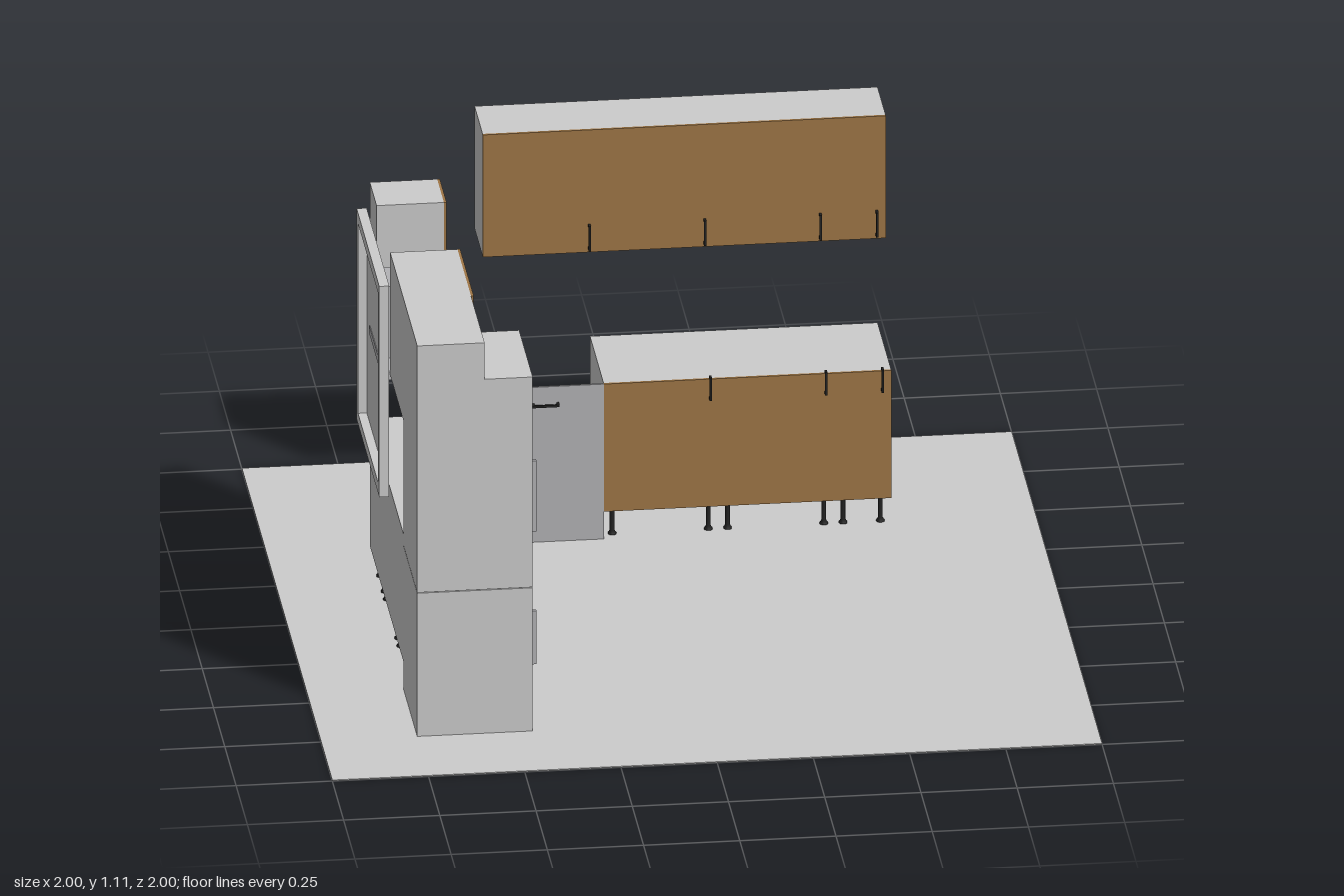
import * as THREE from 'three';

const mat = (color) => new THREE.MeshStandardMaterial({ color });
const GREY = mat(0xcccccc), WOOD = mat(0x9e7646), BLACK = mat(0x222222);
const STEEL = mat(0xb2b2b5), FRIDGE = mat(0xc4c4c4), GLASS = mat(0x363636);

// Box given by its minimum and maximum on each axis
function box(parent, name, material, [x0, x1], [y0, y1], [z0, z1]) {
  const mesh = new THREE.Mesh(new THREE.BoxGeometry(x1 - x0, y1 - y0, z1 - z0), material);
  mesh.position.set((x0 + x1) / 2, (y0 + y1) / 2, (z0 + z1) / 2);
  mesh.name = name;
  parent.add(mesh);
  return mesh;
}

// Bar handle standing off a door that faces +z; length runs along y
function barHandle(name, length, material = BLACK, t = 0.006, depth = 0.018) {
  const g = new THREE.Group();
  g.name = name;
  const h = length / 2;
  box(g, 'handleBar', material, [-t / 2, t / 2], [-h, h], [depth - t, depth]);
  for (const s of [-1, 1]) {
    const y = s * (h - t / 2);
    box(g, 'handlePost', material, [-t / 2, t / 2], [y - t / 2, y + t / 2], [0, depth - t]);
  }
  return g;
}

function place(parent, obj, x, y, z, rotY = 0, rotZ = 0) {
  obj.position.set(x, y, z);
  obj.rotation.set(0, rotY, rotZ);
  parent.add(obj);
}

// Turned cabinet foot, wider at the floor and under the carcass
const legGeo = new THREE.LatheGeometry([
  [0, 0], [0.011, 0], [0.011, 0.006], [0.006, 0.014], [0.006, 0.072], [0.009, 0.074], [0.009, 0.082], [0, 0.082],
].map(([r, y]) => new THREE.Vector2(r, y)), 12);

function leg(parent, x, z) {
  const mesh = new THREE.Mesh(legGeo, BLACK);
  mesh.name = 'cabinetLeg';
  mesh.position.set(x, 0, z);
  parent.add(mesh);
}

const BASE = [0.08, 0.44], UPPER = [0.76, 1.105];

// Cabinets along the back, doors facing +z
function buildBackRun() {
  const run = new THREE.Group();
  run.name = 'backRun';
  for (const [x0, x1] of [[-0.425, -0.125], [-0.125, 0.175], [0.175, 0.475], [0.475, 0.622]]) {
    box(run, 'upperCabinet', GREY, [x0, x1], UPPER, [-0.75, -0.572]);
    box(run, 'upperDoor', WOOD, [x0, x1], UPPER, [-0.572, -0.565]);
    place(run, barHandle('upperHandle', 0.07), x1 - 0.024, 0.805, -0.565);
    if (x0 < -0.4) continue;
    box(run, 'baseCabinet', GREY, [x0, x1], BASE, [-0.75, -0.45]);
    box(run, 'baseDoor', WOOD, [x0, x1], BASE, [-0.45, -0.443]);
    place(run, barHandle('baseHandle', 0.065), x1 - 0.024, 0.418, -0.443);
    for (const x of [x0 + 0.025, x1 - 0.025]) {
      for (const z of [-0.725, -0.475]) if (x !== x0 + 0.025 || x0 < 0.47) leg(run, x, z);
    }
  }
  for (const z of [-0.725, -0.475]) leg(run, 0.5, z);
  // Dishwasher front stands alone on the floor
  box(run, 'dishwasherFront', STEEL, [-0.425, -0.125], [0, 0.44], [-0.449, -0.443]);
  place(run, barHandle('dishwasherHandle', 0.07), -0.277, 0.392, -0.443, 0, Math.PI / 2);
  return run;
}

// Cabinets along the side wall, doors facing +x
function buildSideRun() {
  const run = new THREE.Group();
  run.name = 'sideRun';
  const quarter = Math.PI / 2;
  for (const [z0, z1, handleZ, sink] of [[0.15, 0.45, 0.175, true], [-0.3, -0.15, -0.275, false]]) {
    box(run, 'baseCabinet', GREY, [-0.75, -0.45], BASE, [z0, z1]);
    box(run, 'baseDoor', WOOD, [-0.45, -0.443], BASE, [z0, z1]);
    box(run, 'upperCabinet', GREY, [-0.75, -0.575], UPPER, [z0, z1]);
    box(run, 'upperDoor', WOOD, [-0.575, -0.568], UPPER, [z0, z1]);
    place(run, barHandle('upperHandle', 0.07), -0.568, 0.805, handleZ, quarter);
    if (!sink) place(run, barHandle('baseHandle', 0.065), -0.443, 0.418, handleZ, quarter);
  }
  for (const z of [0.425, 0.175, 0.125, -0.125, -0.175, -0.275]) {
    for (const x of [-0.725, -0.475]) leg(run, x, z);
  }
  run.add(buildOven(), buildSink(), buildFridge(), buildHood(), buildWindow());
  return run;
}

function buildOven() {
  const g = new THREE.Group();
  g.name = 'oven';
  box(g, 'ovenBody', GREY, [-0.75, -0.455], BASE, [-0.15, 0.15]);
  box(g, 'ovenDoor', FRIDGE, [-0.455, -0.447], [0.115, 0.44], [-0.15, 0.15]);
  box(g, 'ovenDrawer', GREY, [-0.455, -0.449], [0.08, 0.112], [-0.15, 0.15]);
  box(g, 'ovenGlass', GLASS, [-0.447, -0.445], [0.2, 0.37], [-0.112, 0.112]);
  place(g, barHandle('ovenHandle', 0.25, STEEL, 0.009), -0.447, 0.39, 0, Math.PI / 2, Math.PI / 2);
  g.children.at(-1).rotation.order = 'YXZ';
  return g;
}

function buildSink() {
  const g = new THREE.Group();
  g.name = 'sink';
  box(g, 'sinkTop', STEEL, [-0.7, -0.487], [0.44, 0.445], [0.172, 0.428]);
  // Faucet: upright with a curved spout
  const path = new THREE.CatmullRomCurve3([
    [-0.685, 0.445], [-0.685, 0.51], [-0.672, 0.54], [-0.645, 0.543], [-0.625, 0.525], [-0.622, 0.505],
  ].map(([x, y]) => new THREE.Vector3(x, y, 0.302)));
  const spout = new THREE.Mesh(new THREE.TubeGeometry(path, 24, 0.006, 10), STEEL);
  spout.name = 'faucetSpout';
  spout.material = mat(0xb2b2b5);
  spout.material.side = THREE.DoubleSide;
  const base = new THREE.Mesh(new THREE.CylinderGeometry(0.008, 0.01, 0.03, 16), STEEL);
  base.name = 'faucetBase';
  base.position.set(-0.685, 0.46, 0.302);
  g.add(spout, base);
  return g;
}

function buildFridge() {
  const g = new THREE.Group();
  g.name = 'fridge';
  box(g, 'freezerPart', FRIDGE, [-0.75, -0.45], [0, 0.407], [0.45, 0.75]);
  box(g, 'fridgePart', FRIDGE, [-0.75, -0.45], [0.409, 1.002], [0.45, 0.75]);
  box(g, 'cabinetAboveFridge', GREY, [-0.75, -0.575], [1.002, 1.105], [0.45, 0.75]);
  for (const [y, length] of [[0.657, 0.2], [0.258, 0.15]]) {
    place(g, barHandle('fridgeHandle', length, STEEL, 0.01, 0.012), -0.45, y, 0.727, Math.PI / 2);
  }
  return g;
}

function buildHood() {
  const g = new THREE.Group();
  g.name = 'rangeHood';
  box(g, 'hoodPlate', STEEL, [-0.769, -0.54], [0.745, 0.768], [-0.15, 0.15]);
  box(g, 'hoodChimney', STEEL, [-0.763, -0.652], [0.768, 0.97], [-0.062, 0.062]);
  return g;
}

// Window: frame open to the outside, pane flush with the room side
function buildWindow() {
  const g = new THREE.Group();
  g.name = 'window';
  const y = [0.46, 1.055], z = [-0.25, 0.25], b = 0.03, x = [-0.79, -0.767];
  for (const s of [-1, 1]) {
    box(g, 'frameSide', GREY, x, y, s < 0 ? [z[0], z[0] + b] : [z[1] - b, z[1]]);
    box(g, 'frameRail', GREY, x, s < 0 ? [y[0], y[0] + b] : [y[1] - b, y[1]], [z[0] + b, z[1] - b]);
  }
  box(g, 'windowPane', GREY, [-0.767, -0.764], y, z);
  return g;
}

export function createModel() {
  const model = new THREE.Group();
  model.name = 'kitchen';
  box(model, 'floor', GREY, [-1, 1], [0, 0.003], [-1, 1]);
  model.add(buildBackRun(), buildSideRun());
  return model;
}
